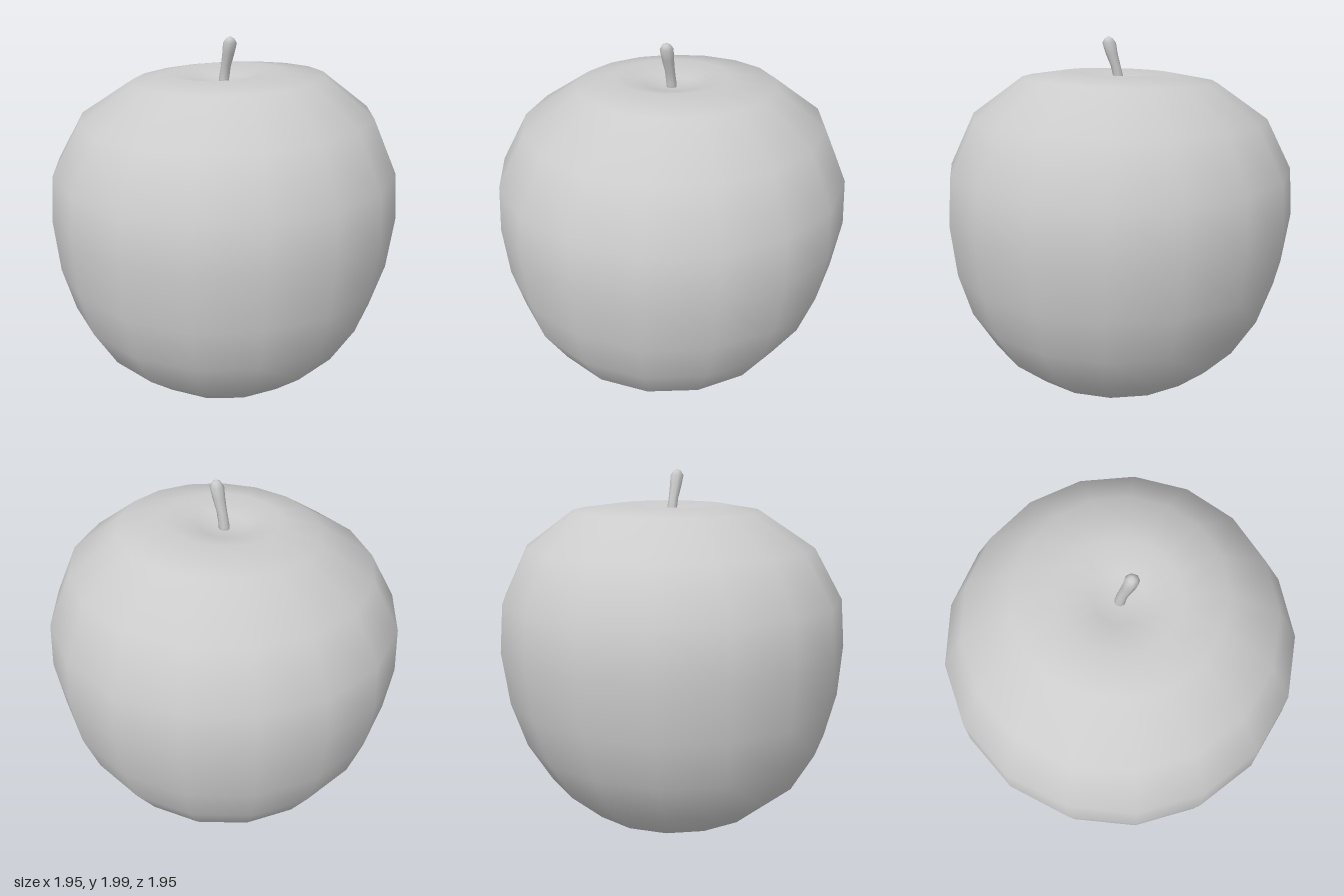
import * as THREE from 'three';
import { mergeVertices } from 'three/addons/utils/BufferGeometryUtils.js';

const material = new THREE.MeshStandardMaterial({ color: 0xcccccc });

// Smooth lathed solid whose vertices are then moved by a rule.
function bentLathe(name, profile, sides, phase, rule) {
  const points = profile.map(([r, y]) => new THREE.Vector2(r, y));
  let geometry = new THREE.LatheGeometry(points, sides, phase);
  const pos = geometry.attributes.position;
  const v = new THREE.Vector3();
  for (let i = 0; i < pos.count; i++) {
    rule(v.fromBufferAttribute(pos, i));
    pos.setXYZ(i, v.x, v.y, v.z);
  }
  geometry.deleteAttribute('uv');
  geometry.deleteAttribute('normal');
  geometry = mergeVertices(geometry, 1e-4);
  geometry.computeVertexNormals();
  const mesh = new THREE.Mesh(geometry, material);
  mesh.name = name;
  return mesh;
}

export function createModel() {
  const group = new THREE.Group();
  group.name = 'apple';

  // Fruit body, from the hollow underneath to the dimple around the stem
  const bodyProfile = [
    [0, 0.09], [0.16, 0.055], [0.32, 0.008], [0.56, 0.09], [0.75, 0.27], [0.88, 0.5],
    [0.95, 0.75], [0.978, 1.04], [0.955, 1.3], [0.81, 1.58], [0.53, 1.775],
    [0.3, 1.81], [0.13, 1.765], [0, 1.745],
  ];
  group.add(bentLathe('fruitBody', bodyProfile, 17, 0.052, (v) => {
    const { x, y, z } = v;
    const r = Math.hypot(x, z);
    const upper = THREE.MathUtils.smoothstep(y, 1.4, 1.8);
    const lower = 1 - THREE.MathUtils.smoothstep(y, 0, 0.15);
    // Uneven crown
    v.y += upper * (0.03 * x - 0.025 * z);
    // Two feet left and right under the base
    if (r > 0.01) v.y += lower * 0.022 * (z / r) ** 2;
    // Slight lean
    if (r > 0.4) {
      v.x += 0.012 * (1 - THREE.MathUtils.smoothstep(y, 0.3, 1.1));
      v.z += 0.02 * (1 - THREE.MathUtils.smoothstep(y, 0.3, 1.1)) - 0.03 * upper;
    }
  }));

  // Stem, leaning to the side and swelling towards its tip
  const stemProfile = [
    [0, 1.7], [0.03, 1.7], [0.028, 1.77], [0.027, 1.84], [0.033, 1.91],
    [0.037, 1.965], [0.022, 1.988], [0, 2],
  ];
  group.add(bentLathe('stem', stemProfile, 8, 0, (v) => {
    v.x += 0.058 * THREE.MathUtils.smoothstep(v.y, 1.74, 2);
  }));

  return group;
}
